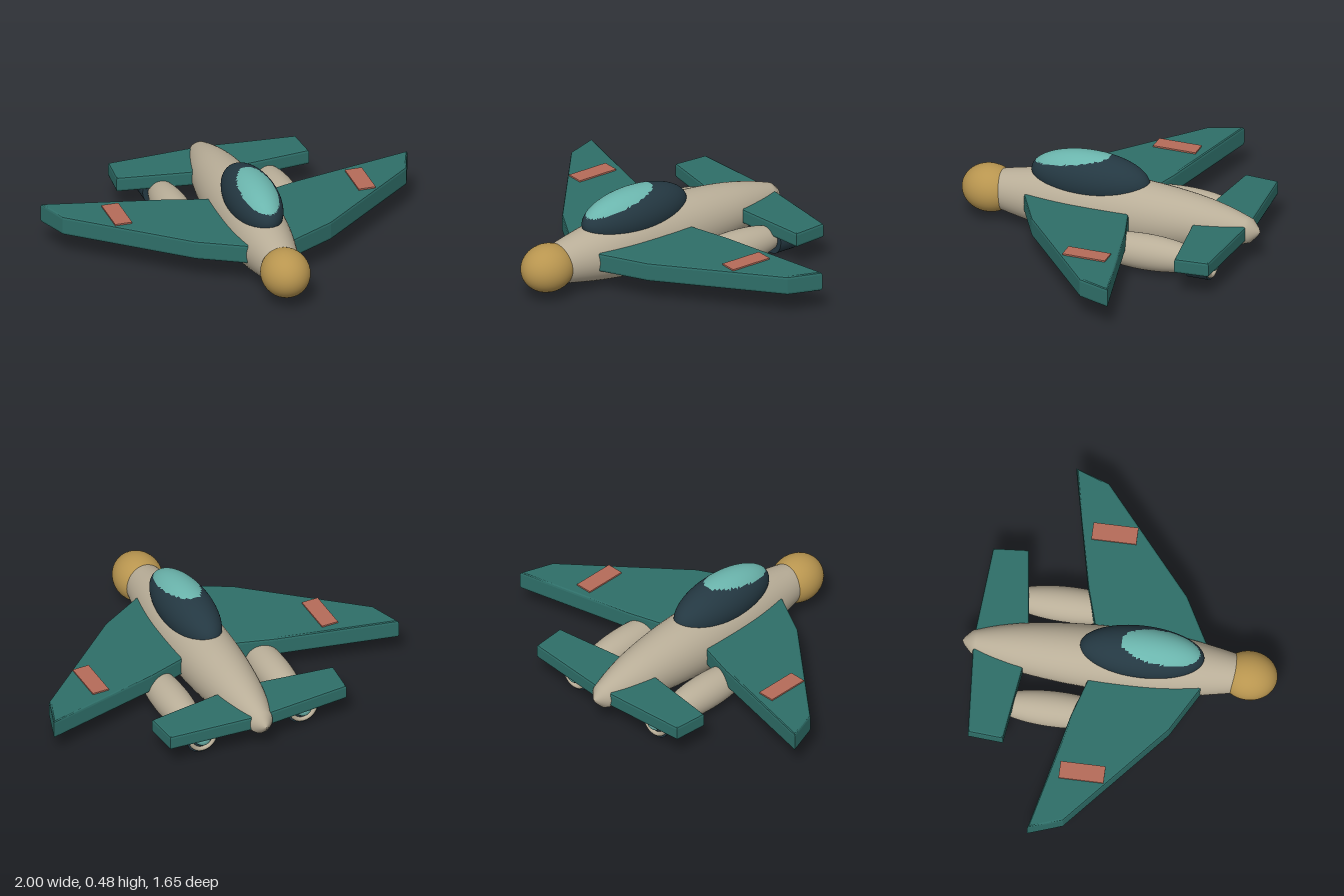
import * as THREE from 'three';

const mat = (name, color) => {
  const m = new THREE.MeshStandardMaterial({ color });
  m.name = name;
  return m;
};

export function createModel() {
  const cream = mat('warm cream', 0xb9ae98);
  const teal = mat('deep teal', 0x2e6e68);
  const gold = mat('brass gold', 0xb8954f);
  const navy = mat('dark navy', 0x243842);
  const aqua = mat('light aqua', 0x6bb5ad);
  const coral = mat('faded coral', 0xb56b59);

  const model = new THREE.Group();
  model.name = 'jet';
  const add = (name, geometry, material, x = 0, y = 0, z = 0, parent = model) => {
    const mesh = new THREE.Mesh(geometry, material);
    mesh.name = name;
    mesh.position.set(x, y, z);
    parent.add(mesh);
    return mesh;
  };
  const ellipsoid = (rx, ry, rz, w = 40, h = 28) =>
    new THREE.SphereGeometry(1, w, h).rotateX(Math.PI / 2).scale(rx, ry, rz);

  // Fuselage: radius along z, slightly taller than wide
  const profile = new THREE.SplineCurve([
    [0.06, -0.775], [0.098, -0.65], [0.13, -0.5], [0.154, -0.3], [0.165, -0.1],
    [0.166, 0.1], [0.159, 0.25], [0.14, 0.4], [0.103, 0.6], [0.08, 0.68],
  ].map(([r, z]) => new THREE.Vector2(r, z))).getPoints(36);
  const body = [new THREE.Vector2(0, -0.825), new THREE.Vector2(0.022, -0.812), ...profile];
  add('fuselage', new THREE.LatheGeometry(body, 40).rotateX(Math.PI / 2).scale(1, 1.07, 1), cream, 0, 0.183, 0);

  // Nose ball
  add('nose', ellipsoid(0.129, 0.128, 0.148), gold, 0, 0.178, 0.675);

  // Canopy: faces above a sloping plane form the bright glass
  const canopy = ellipsoid(0.135, 0.14, 0.325, 64, 48).toNonIndexed();
  const pos = canopy.attributes.position;
  for (let i = 0; i < pos.count; i += 3) {
    const y = (pos.getY(i) + pos.getY(i + 1) + pos.getY(i + 2)) / 3;
    const z = (pos.getZ(i) + pos.getZ(i + 1) + pos.getZ(i + 2)) / 3;
    canopy.addGroup(i, 3, y + 0.2 * z > 0.11 ? 1 : 0);
  }
  add('canopy', canopy, [navy, aqua], 0, 0.34, 0.115);

  // Bevelled slab from one half outline (x, z), mirrored across the centre
  const slab = (half, height) => {
    const bevel = 0.014;
    const mirrored = half.map(([x, z]) => [-x, z]).reverse();
    const shape = new THREE.Shape([...half, ...mirrored].map(([x, z]) => new THREE.Vector2(x, -z)));
    return new THREE.ExtrudeGeometry(shape, {
      depth: height - 2 * bevel, bevelThickness: bevel, bevelSize: 0.01, bevelOffset: -0.01, bevelSegments: 2,
    }).translate(0, 0, bevel).rotateX(-Math.PI / 2);
  };
  add('wings', slab([
    [0.11, 0.447], [0.37, 0.305], [0.938, -0.178], [1, -0.357], [0.355, -0.212], [0.1, -0.135],
  ], 0.104), teal, 0, 0.134, 0);
  add('tailplane', slab([
    [0.08, -0.487], [0.525, -0.545], [0.511, -0.73], [0.06, -0.763],
  ], 0.082), teal, 0, 0.143, 0);

  for (const side of [1, -1]) {
    // Wing marking
    add('wingPanel', new THREE.BoxGeometry(0.092, 0.009, 0.235), coral, side * 0.664, 0.2415, -0.113);

    // Engine pod, nozzle, exhaust ring and glow
    const engine = new THREE.Group();
    engine.name = side > 0 ? 'leftEngine' : 'rightEngine';
    engine.position.set(side * 0.291, 0.114, 0);
    model.add(engine);
    add('pod', ellipsoid(0.093, 0.095, 0.33), cream, 0, 0, -0.3, engine);
    add('nozzle', new THREE.CylinderGeometry(0.09, 0.09, 0.115, 32).rotateX(Math.PI / 2), navy, 0, 0, -0.608, engine);
    add('exhaustRing', new THREE.TorusGeometry(0.068, 0.012, 12, 32), cream, 0, 0, -0.669, engine);
    add('exhaustGlow', ellipsoid(0.046, 0.046, 0.046, 24, 16), aqua, 0, 0, -0.662, engine);
  }
  return model;
}
